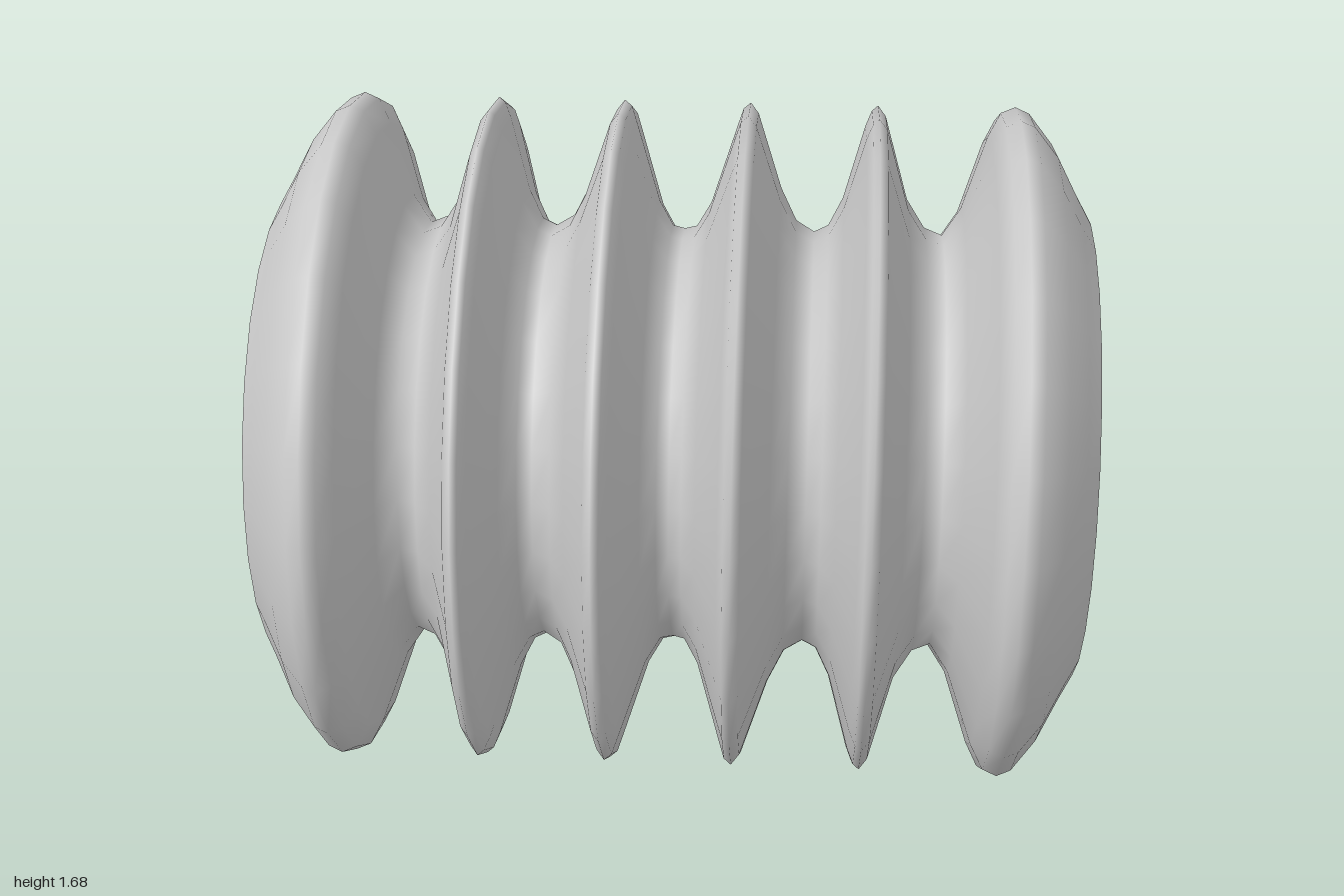
import * as THREE from 'three';

const SIDES = 25;
const RADIUS = 0.845;

// Half of the bellows outline as [distance from middle, radius]
const HALF = [
  [0, 0.523], [0.03, 0.53], [0.065, 0.59], [0.125, 0.78], [0.14, 0.826], [0.158, 0.841], [0.178, 0.815],
  [0.24, 0.63], [0.28, 0.55], [0.325, 0.523], [0.36, 0.54], [0.395, 0.61],
  [0.445, 0.79], [0.46, 0.828], [0.475, 0.841], [0.495, 0.815], [0.555, 0.61], [0.6, 0.54],
  [0.645, 0.522], [0.69, 0.59], [0.75, 0.77], [0.78, 0.83], [0.815, RADIUS],
  [0.85, 0.83], [0.91, 0.755], [0.965, 0.65], [1, 0.588],
];

export function createModel() {
  const group = new THREE.Group();
  const material = new THREE.MeshStandardMaterial({ color: 0xcccccc });
  const add = (name, geometry) => {
    const mesh = new THREE.Mesh(geometry, material);
    mesh.name = name;
    mesh.position.y = RADIUS;
    group.add(mesh);
    return mesh;
  };

  // Ribbed body: mirrored outline turned around the x axis, one corner pointing down
  const mirrored = HALF.slice(1).reverse().map(([x, r]) => [-x, r]);
  const outline = [...mirrored, ...HALF].map(([x, r]) => new THREE.Vector2(r, x));
  add('bellows', new THREE.LatheGeometry(outline, SIDES, Math.PI / 2).rotateZ(-Math.PI / 2));

  // Flat discs closing both ends
  const [endX, endRadius] = HALF[HALF.length - 1];
  for (const side of [1, -1]) {
    const disc = new THREE.CircleGeometry(endRadius, SIDES, -Math.PI / 2);
    disc.rotateY(side * Math.PI / 2);
    add(side > 0 ? 'leftEndCap' : 'rightEndCap', disc).position.x = side * endX;
  }
  return group;
}
